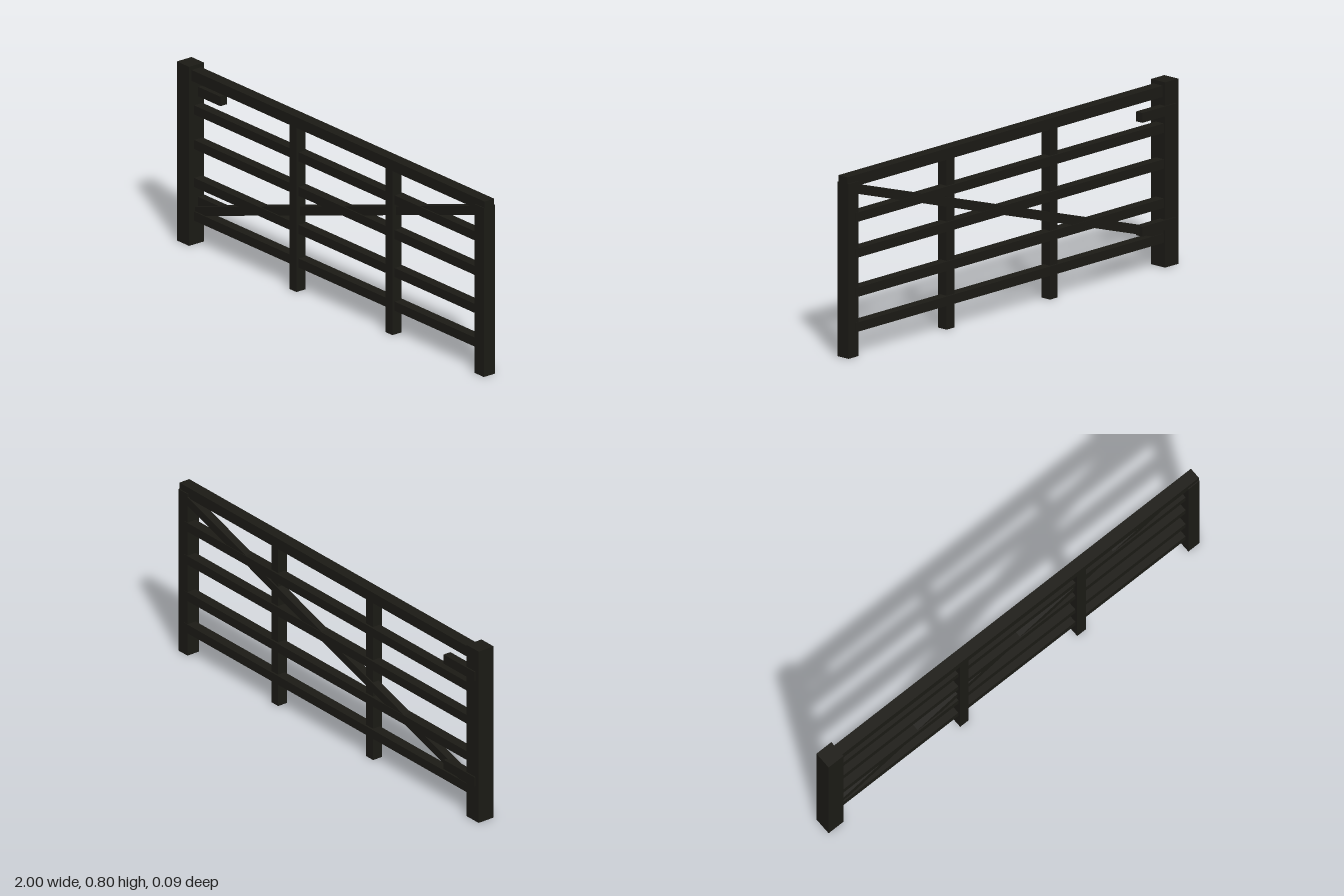
import * as THREE from 'three';

export function createModel() {
  const gate = new THREE.Group();
  gate.name = 'fieldGate';
  const material = new THREE.MeshStandardMaterial({ color: 0x1b1a15 });

  // Box given by its limits on each axis
  function beam(name, [x0, x1], [y0, y1], [z0, z1]) {
    const mesh = new THREE.Mesh(new THREE.BoxGeometry(x1 - x0, y1 - y0, z1 - z0), material);
    mesh.position.set((x0 + x1) / 2, (y0 + y1) / 2, (z0 + z1) / 2);
    mesh.name = name;
    gate.add(mesh);
    return mesh;
  }

  // End posts and top rail
  beam('hingePost', [-1, -0.92], [0, 0.797], [-0.036, 0.043]);
  beam('latchPost', [0.94, 1], [0, 0.752], [-0.027, 0.034]);
  beam('topRail', [-0.94, 1], [0.732, 0.78], [-0.022, 0.03]);

  // Horizontal rails
  for (const y of [0.126, 0.276, 0.445, 0.599]) {
    beam('rail', [-0.94, 0.96], [y - 0.02, y + 0.02], [-0.029, 0.016]);
  }

  // Intermediate uprights
  for (const x of [-0.258, 0.371]) {
    beam('upright', [x - 0.023, x + 0.023], [0, 0.735], [-0.02, 0.028]);
  }

  // Hinge straps on the back
  for (const y of [0.185, 0.675]) {
    beam('hingeStrap', [-0.98, -0.775], [y - 0.021, y + 0.021], [-0.042, -0.006]);
  }

  // Diagonal brace from the foot of the hinge post to the top of the latch post
  const start = new THREE.Vector2(-0.93, 0.142);
  const end = new THREE.Vector2(0.955, 0.722);
  const span = end.clone().sub(start);
  const half = span.length() / 2;
  const brace = beam('diagonalBrace', [-half, half], [-0.019, 0.019], [-0.026, 0.01]);
  brace.position.x = (start.x + end.x) / 2;
  brace.position.y = (start.y + end.y) / 2;
  brace.rotation.z = span.angle();

  return gate;
}
